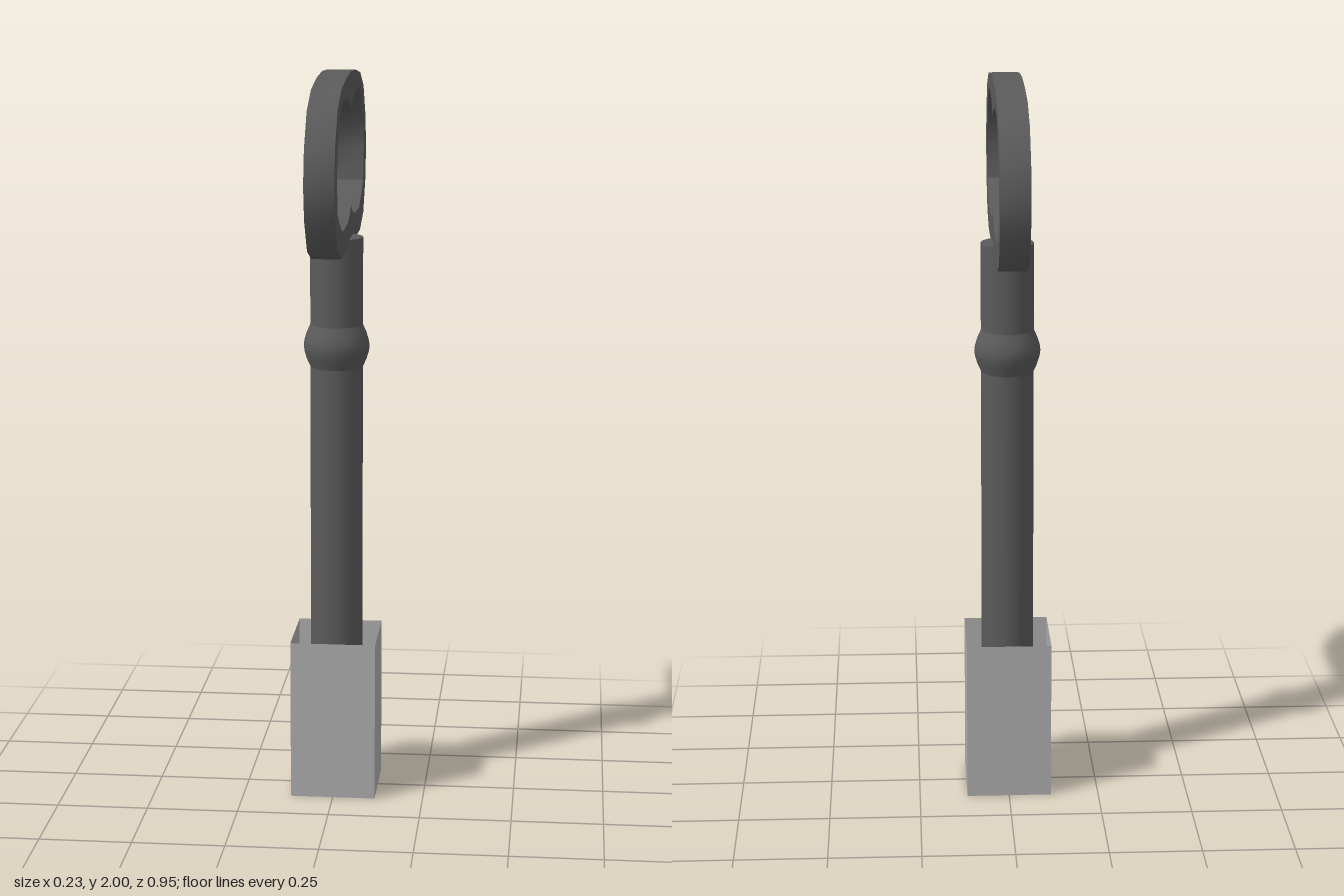
import * as THREE from 'three';
import { toCreasedNormals } from 'three/addons/utils/BufferGeometryUtils.js';

// Mirrors a half outline (running from top centre to bottom centre) into a closed loop
function mirroredLoop(half) {
  const other = half.slice(1, -1).reverse().map(([u, v]) => [-u, v]);
  return [...half, ...other].map(([u, v]) => new THREE.Vector2(u, v));
}

export function createModel() {
  const model = new THREE.Group();
  const dark = new THREE.MeshStandardMaterial({ color: 0x5b5b5b });
  const grey = new THREE.MeshStandardMaterial({ color: 0xadadad, side: THREE.DoubleSide });

  function add(name, geometry, material, y = 0) {
    const mesh = new THREE.Mesh(geometry, material);
    mesh.name = name;
    mesh.position.y = y;
    model.add(mesh);
  }

  // Square socket: floor and four walls, open at the top
  const width = 0.234, height = 0.445;
  const socket = new THREE.BoxGeometry(width, height, width);
  const index = Array.from(socket.index.array);
  index.splice(12, 6); // remove the top face
  socket.setIndex(index);
  socket.clearGroups();
  add('socket', socket, grey, height / 2);

  // Round shaft reaching down into the socket
  const bottom = 0.01, top = 1.557;
  add('shaft', new THREE.CylinderGeometry(0.072, 0.072, top - bottom, 24), dark, (top + bottom) / 2);

  // Swollen collar on the shaft
  const collar = [
    [0.07, 1.195], [0.073, 1.205], [0.082, 1.225], [0.088, 1.245], [0.09, 1.26],
    [0.088, 1.275], [0.082, 1.295], [0.073, 1.315], [0.07, 1.325],
  ].map(([r, y]) => new THREE.Vector2(r, y));
  add('collar', new THREE.LatheGeometry(collar, 24), dark);

  // Oval handle with a two-lobed opening, lying in the yz plane
  const outer = [
    [0, 2], [0.14, 1.993], [0.28, 1.975], [0.385, 1.93], [0.452, 1.84], [0.473, 1.75],
    [0.452, 1.66], [0.385, 1.573], [0.28, 1.538], [0.14, 1.537], [0, 1.532],
  ];
  const inner = [
    [0, 1.896], [0.05, 1.92], [0.1, 1.935], [0.19, 1.94], [0.26, 1.935], [0.32, 1.9],
    [0.375, 1.84], [0.4, 1.76], [0.38, 1.665], [0.33, 1.637], [0.25, 1.605],
    [0.19, 1.605], [0.1, 1.607], [0.04, 1.622], [0, 1.644],
  ];
  const shape = new THREE.Shape(mirroredLoop(outer));
  // The opening winds the other way so that its walls face inwards
  shape.holes.push(new THREE.Path(mirroredLoop(inner).reverse()));
  const depth = 0.078;
  const handle = new THREE.ExtrudeGeometry(shape, { depth, bevelEnabled: false });
  handle.translate(0, 0, -depth / 2).rotateY(Math.PI / 2);
  add('handle', toCreasedNormals(handle, 0.75), dark);

  return model;
}
